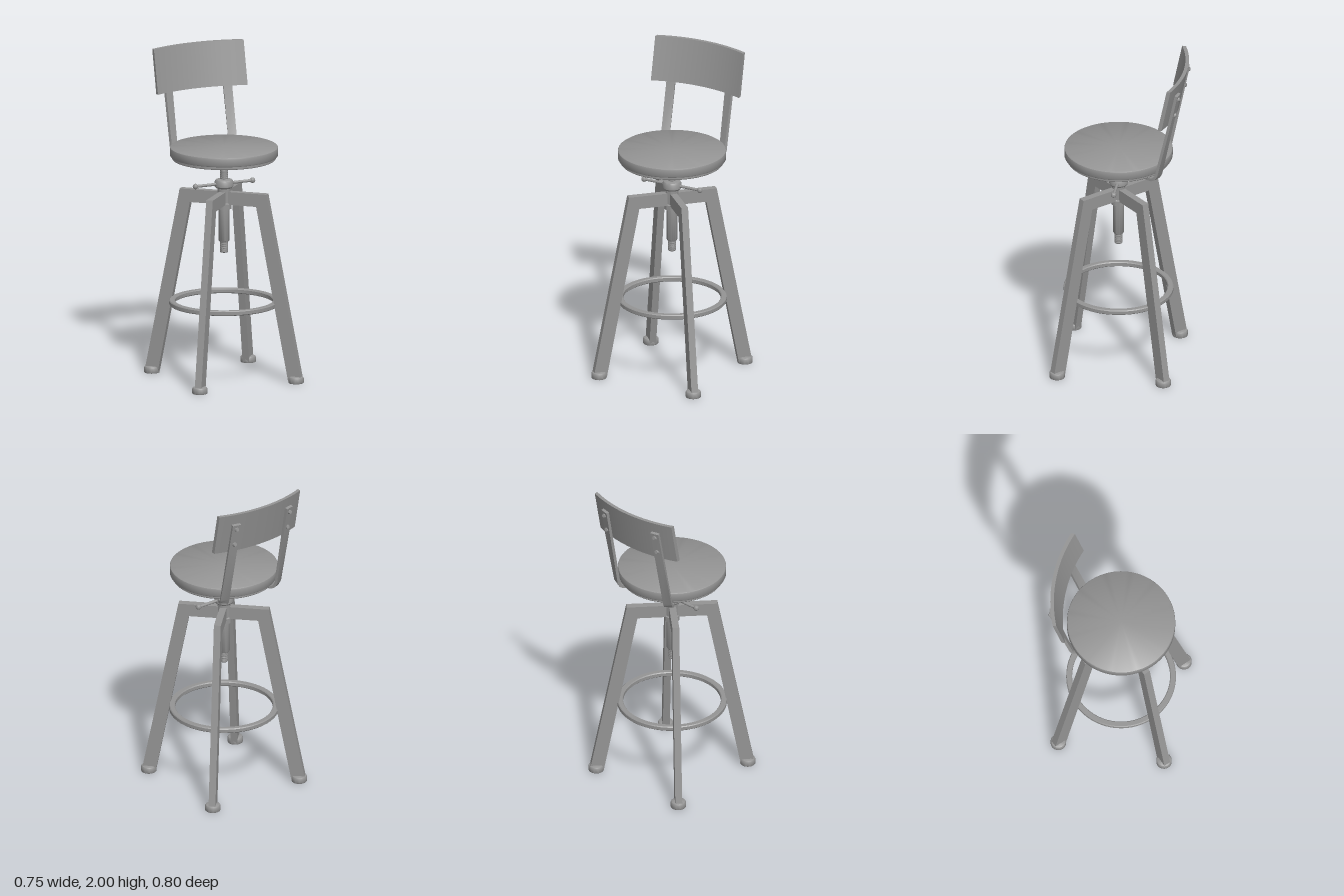
import * as THREE from 'three';
import { toCreasedNormals } from 'three/addons/utils/BufferGeometryUtils.js';

const material = new THREE.MeshStandardMaterial({ color: 0x949494 });
const AXIS_Z = 0.0225; // seat and base axis, set forward of the overall centre

export function createModel() {
  const stool = new THREE.Group();
  stool.name = 'swivelStool';
  const base = new THREE.Group();
  base.name = 'baseAndSeat';
  base.position.z = AXIS_Z;
  stool.add(base);

  const add = (name, geometry, parent = base, x = 0, y = 0, z = 0) => {
    const mesh = new THREE.Mesh(toCreasedNormals(geometry, 0.6), material);
    mesh.name = name;
    mesh.position.set(x, y, z);
    parent.add(mesh);
    return mesh;
  };
  // Profile of [radius, y] pairs listed from bottom to top
  const lathe = (profile, segments = 32) =>
    new THREE.LatheGeometry(profile.map(([r, y]) => new THREE.Vector2(r, y)), segments);

  // Padded round seat, softly shaded from rim to centre, over a rimmed, recessed pan
  add('seatCushion', lathe([
    [0, 1.38], [0.325, 1.38], [0.329, 1.386], [0.329, 1.428], [0.327, 1.434],
    [0.321, 1.438], [0, 1.441],
  ], 64));
  add('seatPan', lathe([
    [0, 1.37], [0.285, 1.37], [0.29, 1.36], [0.312, 1.36], [0.315, 1.364], [0.315, 1.382],
  ], 64));
  add('mountingPlate', new THREE.BoxGeometry(0.26, 0.012, 0.26), base, 0, 1.364, 0);
  const boltHead = lathe([[0, 0], [0.009, 0.002], [0.015, 0.009], [0.016, 0.024]], 16);
  for (const x of [-0.1, 0.1]) for (const z of [-0.09, 0.107])
    add('plateBolt', boltHead, base, x, z < 0 ? 1.329 : 1.336, z);

  // Threaded spindle, showing above the hub and below the sleeve
  const thread = [[0, 0.78], [0.021, 0.78]];
  for (let y = 0.785; y < 1.335; y += 0.012) thread.push([0.025, y], [0.025, y + 0.005], [0.0232, y + 0.0085]);
  thread.push([0.023, 1.345]);
  add('threadedSpindle', lathe(thread, 20));
  add('spindleCollar', lathe([[0, 1.332], [0.036, 1.332], [0.041, 1.337], [0.041, 1.37]]));
  add('hubSleeve', lathe([
    [0, 0.85], [0.03, 0.85], [0.033, 0.855], [0.033, 1.05], [0.046, 1.052], [0.046, 1.085],
    [0.04, 1.09], [0.04, 1.18], [0, 1.18],
  ]));
  add('lockingNut', lathe([
    [0, 1.17], [0.035, 1.17], [0.035, 1.178], [0.05, 1.181], [0.057, 1.191], [0.057, 1.22],
    [0.05, 1.231], [0.035, 1.236], [0, 1.236],
  ]));

  // Locking handle with ball ends
  const rod = add('lockingHandle', new THREE.CylinderGeometry(0.009, 0.009, 0.38, 14), base, 0, 1.207, 0);
  rod.rotation.z = Math.PI / 2;
  for (const s of [-1, 1])
    add('handleKnob', new THREE.SphereGeometry(0.017, 16, 12), base, s * 0.193, 1.207, 0);

  // Two crossed frames, each a crossbar and a pair of splayed legs
  const half = [[0.277, 1.16], [0.502, 0.008], [0.417, 0.008], [0.212, 1.08]];
  const outline = [...half, ...half.map(([x, y]) => [-x, y]).reverse()];
  const frameGeometry = new THREE.ExtrudeGeometry(
    new THREE.Shape(outline.map(([x, y]) => new THREE.Vector2(x, y))),
    { depth: 0.042, bevelEnabled: false },
  ).translate(0, 0, -0.021);
  for (const s of [-1, 1]) add('legFrame', frameGeometry).rotation.y = s * Math.PI / 4;

  // Round feet
  const foot = lathe([[0, 0], [0.045, 0], [0.047, 0.003], [0.047, 0.03], [0.043, 0.037], [0.034, 0.041], [0, 0.044]], 24);
  for (const x of [-1, 1]) for (const z of [-1, 1])
    add('foot', foot, base, x * 0.326, 0, z * 0.326);

  // Footrest ring inside the legs
  add('footrestRing', lathe([
    [0.302, 0.456], [0.328, 0.456], [0.333, 0.461], [0.333, 0.481], [0.328, 0.486],
    [0.302, 0.486], [0.297, 0.481], [0.297, 0.461], [0.302, 0.456],
  ], 64));

  // Curved, tilted backrest with straight-cut ends
  const panel = new THREE.BoxGeometry(0.608, 0.27, 0.022, 28, 1, 1);
  const p = panel.attributes.position;
  for (let i = 0; i < p.count; i++) {
    const x = p.getX(i), y = p.getY(i) + 1.865, radius = 0.835 - p.getZ(i);
    p.setXYZ(i, x, y, 0.446 - Math.sqrt(radius * radius - x * x) + (2 - y) * 0.204);
  }
  add('backrest', panel, stool);

  // Bent flat bars carrying the backrest, with bolts
  for (const s of [-1, 1]) {
    add('backSupport', bentBar(s), stool);
    for (const y of [1.79, 1.9]) {
      const z = -0.372 + (1.93 - y) * 0.204;
      const bolt = add('backrestBolt', new THREE.CylinderGeometry(0.011, 0.015, 0.016, 16), stool, s * 0.199, y, z - 0.012);
      bolt.rotation.x = -Math.PI / 2 + 0.2;
    }
  }
  return stool;
}

// Flat bar swept along [x, y, z, twist] stations; side is 1 for left, -1 for right
function bentBar(side, width = 0.054, thickness = 0.018) {
  const stations = [
    [0.08, 1.351, -0.045, 0.55], [0.168, 1.337, -0.19, 0.55], [0.186, 1.338, -0.222, 0.53],
    [0.196, 1.35, -0.242, 0.5], [0.2, 1.376, -0.255, 0.46], [0.2, 1.73, -0.331, 0.26],
    [0.198, 1.93, -0.372, 0.24],
  ];
  const points = stations.map(([x, y, z]) => new THREE.Vector3(side * x, y, z));
  const positions = [], index = [];
  points.forEach((point, i) => {
    const before = points[Math.max(i - 1, 0)], after = points[Math.min(i + 1, points.length - 1)];
    const along = after.clone().sub(before).normalize();
    const twist = stations[i][3];
    const across = new THREE.Vector3(Math.cos(twist), 0, side * Math.sin(twist));
    const normal = along.clone().cross(across).normalize();
    for (const [u, v] of [[-1, -1], [1, -1], [1, 1], [-1, 1]]) {
      const corner = point.clone().addScaledVector(across, u * width / 2).addScaledVector(normal, v * thickness / 2);
      positions.push(corner.x, corner.y, corner.z);
    }
  });
  const quad = (a, b, c, d) => index.push(a, b, c, a, c, d);
  for (let i = 0; i < points.length - 1; i++)
    for (let j = 0; j < 4; j++) {
      const a = i * 4 + j, b = i * 4 + (j + 1) % 4;
      quad(a, b, b + 4, a + 4);
    }
  const e = (points.length - 1) * 4;
  quad(3, 2, 1, 0);
  quad(e, e + 1, e + 2, e + 3);
  const geometry = new THREE.BufferGeometry();
  geometry.setAttribute('position', new THREE.Float32BufferAttribute(positions, 3));
  geometry.setIndex(index);
  geometry.computeVertexNormals();
  return geometry;
}
